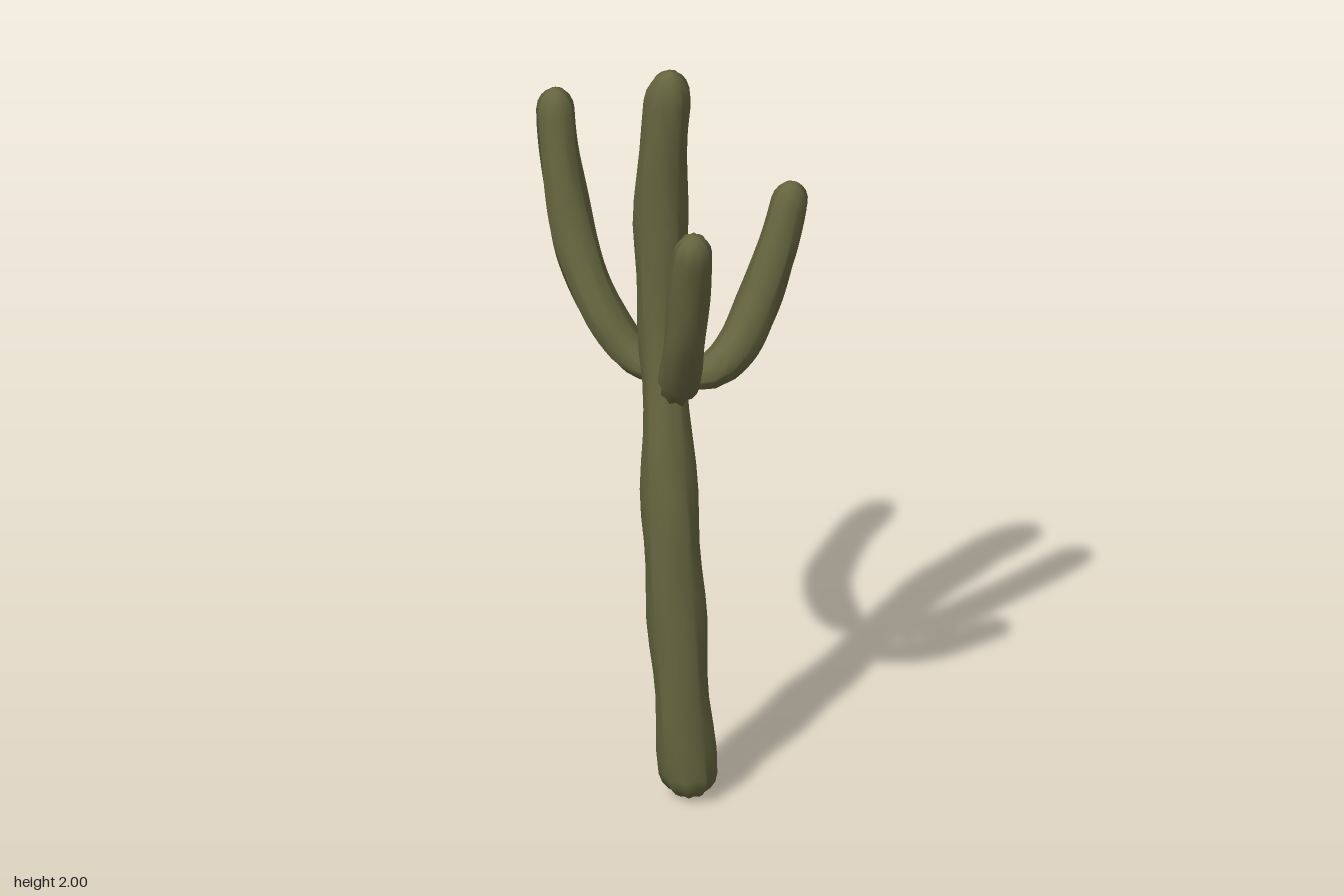
import * as THREE from 'three';

const RIBS = 9;
const SIDES = RIBS * 2;

// Sweeps a ribbed star section along points [x, y, z, radius], with rounded ends.
function limb(name, points, side, capStart, capEnd, material) {
  const curve = new THREE.CatmullRomCurve3(points.map(p => new THREE.Vector3(p[0], p[1], p[2])), false, 'centripetal');
  const length = curve.getLength();
  const stops = [];
  for (const a of [0, 0.04, 0.15, 0.35, 0.65]) stops.push(a * capStart);
  for (let i = 0; i <= 26; i++) stops.push(THREE.MathUtils.lerp(capStart, length - capEnd, i / 26));
  for (const a of [0.65, 0.35, 0.15, 0.04, 0]) stops.push(length - a * capEnd);

  const dome = q => (q >= 1 ? 1 : Math.sqrt(Math.max(0, 1 - (1 - q) ** 2)));
  const N = new THREE.Vector3(), B = new THREE.Vector3(), v = new THREE.Vector3();
  const positions = [], index = [];
  stops.forEach((d, i) => {
    const t = curve.getUtoTmapping(d / length);
    const centre = curve.getPoint(t), T = curve.getTangent(t);
    B.crossVectors(T, side).normalize();
    N.crossVectors(B, T).normalize();
    const f = t * (points.length - 1), k = Math.min(Math.floor(f), points.length - 2);
    const base = THREE.MathUtils.lerp(points[k][3], points[k + 1][3], f - k);
    const r = Math.max(0.0005, base * dome(d / capStart) * dome((length - d) / capEnd));
    for (let j = 0; j < SIDES; j++) {
      const a = (j / SIDES) * Math.PI * 2;
      // Ridges wander slightly in and out along the limb
      const rr = r * (j % 2 ? 0.85 : 1.03 + 0.05 * Math.sin(d * 17 + j * 2.3));
      v.copy(centre).addScaledVector(N, rr * Math.cos(a)).addScaledVector(B, rr * Math.sin(a));
      positions.push(v.x, v.y, v.z);
      if (i < stops.length - 1) {
        const p = i * SIDES + j, q = i * SIDES + (j + 1) % SIDES;
        index.push(p, q, p + SIDES, q, q + SIDES, p + SIDES);
      }
    }
  });
  const geometry = new THREE.BufferGeometry();
  geometry.setAttribute('position', new THREE.Float32BufferAttribute(positions, 3));
  geometry.setIndex(index);
  geometry.computeVertexNormals();
  const mesh = new THREE.Mesh(geometry, material);
  mesh.name = name;
  return mesh;
}

export function createModel() {
  const group = new THREE.Group();
  group.name = 'cactus';
  const skin = new THREE.MeshStandardMaterial({ color: 0x64643f });
  skin.name = 'olive green';

  // Leaning trunk, narrowed where the arms join
  group.add(limb('trunk', [
    [-0.08, 0.005, 0.14, 0.07], [-0.09, 0.12, 0.142, 0.074], [-0.1, 0.3, 0.132, 0.07],
    [-0.105, 0.5, 0.113, 0.074], [-0.11, 0.8, 0.08, 0.073], [-0.105, 1.0, 0.052, 0.064],
    [-0.1, 1.13, 0.025, 0.057], [-0.093, 1.3, -0.005, 0.064], [-0.092, 1.55, -0.02, 0.068],
    [-0.087, 1.8, -0.012, 0.062], [-0.078, 2.0, 0.01, 0.055],
  ], new THREE.Vector3(1, 0, 0), 0.07, 0.09, skin));

  group.add(limb('leftArm', [
    [-0.06, 1.125, 0.022, 0.045], [0.03, 1.135, 0.025, 0.05], [0.1, 1.19, 0.022, 0.055],
    [0.165, 1.3, 0.014, 0.055], [0.215, 1.43, 0.01, 0.053], [0.25, 1.55, 0.006, 0.047],
    [0.267, 1.615, 0.005, 0.043],
  ], new THREE.Vector3(0, 0, 1), 0.12, 0.055, skin));

  group.add(limb('backArm', [
    [-0.1, 1.125, -0.02, 0.04], [-0.13, 1.15, -0.095, 0.046], [-0.185, 1.25, -0.17, 0.054],
    [-0.222, 1.4, -0.248, 0.056], [-0.24, 1.6, -0.31, 0.053], [-0.244, 1.75, -0.338, 0.048],
    [-0.243, 1.825, -0.345, 0.045],
  ], new THREE.Vector3(0.92, 0, -0.39), 0.12, 0.06, skin));

  group.add(limb('frontArm', [
    [-0.1, 1.13, 0.05, 0.042], [-0.108, 1.15, 0.11, 0.048], [-0.12, 1.22, 0.168, 0.053],
    [-0.14, 1.35, 0.238, 0.054], [-0.152, 1.5, 0.29, 0.053], [-0.158, 1.63, 0.328, 0.051],
    [-0.16, 1.7, 0.342, 0.047],
  ], new THREE.Vector3(0.97, 0, 0.22), 0.11, 0.055, skin));

  return group;
}
